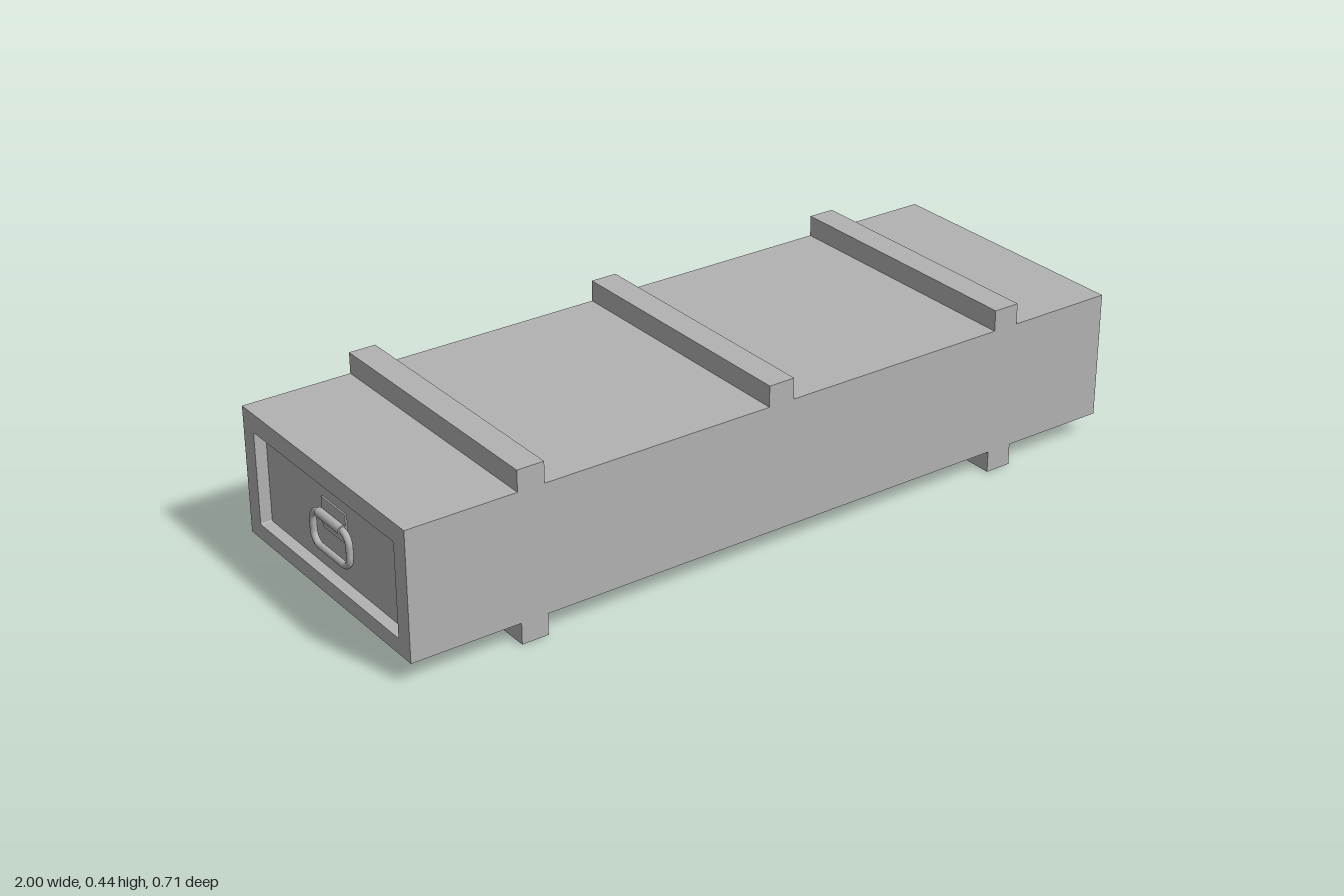
import * as THREE from 'three';

const LENGTH = 2, DEPTH = 0.714, BOTTOM = 0.055, TOP = 0.383, HEIGHT = 0.437;
const RECESS = 0.03;

// Rounded rectangle path centred on x, between two heights
function roundedRect(path, halfW, y0, y1, r) {
  path.moveTo(0, y0);
  path.lineTo(halfW - r, y0);
  path.absarc(halfW - r, y0 + r, r, -Math.PI / 2, 0);
  path.lineTo(halfW, y1 - r);
  path.absarc(halfW - r, y1 - r, r, 0, Math.PI / 2);
  path.lineTo(-halfW + r, y1);
  path.absarc(-halfW + r, y1 - r, r, Math.PI / 2, Math.PI);
  path.lineTo(-halfW, y0 + r);
  path.absarc(-halfW + r, y0 + r, r, Math.PI, Math.PI * 1.5);
  path.lineTo(0, y0);
  return path;
}

// Turns a flat path into a curve in space for the handle bar
class FlatCurve extends THREE.Curve {
  constructor(path) { super(); this.path = path; }
  getPoint(t, target = new THREE.Vector3()) {
    const p = this.path.getPointAt(t);
    return target.set(p.x, p.y, 0);
  }
}

export function createModel() {
  const model = new THREE.Group();
  model.name = 'crate';
  const grey = new THREE.MeshStandardMaterial({ color: 0xb2b2b2 });
  grey.name = 'grey';

  const add = (parent, name, geometry, x = 0, y = 0, z = 0) => {
    const mesh = new THREE.Mesh(geometry, grey);
    mesh.name = name;
    mesh.position.set(x, y, z);
    parent.add(mesh);
    return mesh;
  };

  // Long body, open through both ends
  const section = new THREE.Shape();
  section.moveTo(-DEPTH / 2, BOTTOM);
  section.lineTo(DEPTH / 2, BOTTOM);
  section.lineTo(DEPTH / 2, TOP);
  section.lineTo(-DEPTH / 2, TOP);
  section.closePath();
  section.holes.push(roundedRect(new THREE.Path(), 0.309, 0.095, 0.334, 0.004));
  const bodyGeometry = new THREE.ExtrudeGeometry(section, { depth: LENGTH, bevelEnabled: false, curveSegments: 3 });
  bodyGeometry.translate(0, 0, -LENGTH / 2).rotateY(Math.PI / 2);
  add(model, 'body', bodyGeometry);

  // Cross battens on the lid and runners below
  for (const x of [-0.682, 0, 0.682]) {
    add(model, 'lidBatten', new THREE.BoxGeometry(0.07, HEIGHT - TOP, DEPTH), x, (HEIGHT + TOP) / 2);
    if (x !== 0) add(model, 'runner', new THREE.BoxGeometry(0.07, BOTTOM, DEPTH), x, BOTTOM / 2);
  }

  // Recessed end panels with handles, built facing +z and turned to each end
  const barPath = roundedRect(new THREE.Path(), 0.081, 0.152, 0.239, 0.03);
  for (const side of [1, -1]) {
    const end = new THREE.Group();
    end.name = side > 0 ? 'leftEnd' : 'rightEnd';
    end.rotation.y = side * Math.PI / 2;
    const face = LENGTH / 2 - RECESS;
    add(end, 'endPanel', new THREE.BoxGeometry(0.622, 0.243, 0.01), 0, 0.2145, face - 0.005);
    add(end, 'handlePlate', new THREE.BoxGeometry(0.106, 0.076, 0.004), 0, 0.237, face + 0.002);
    add(end, 'handleBar', new THREE.TubeGeometry(new FlatCurve(barPath), 120, 0.0085, 12, true), 0, 0, face + 0.013);
    const sleeve = new THREE.CylinderGeometry(0.0115, 0.0115, 0.106, 20).rotateZ(Math.PI / 2);
    add(end, 'handleSleeve', sleeve, 0, 0.239, face + 0.013);
    model.add(end);
  }
  return model;
}
